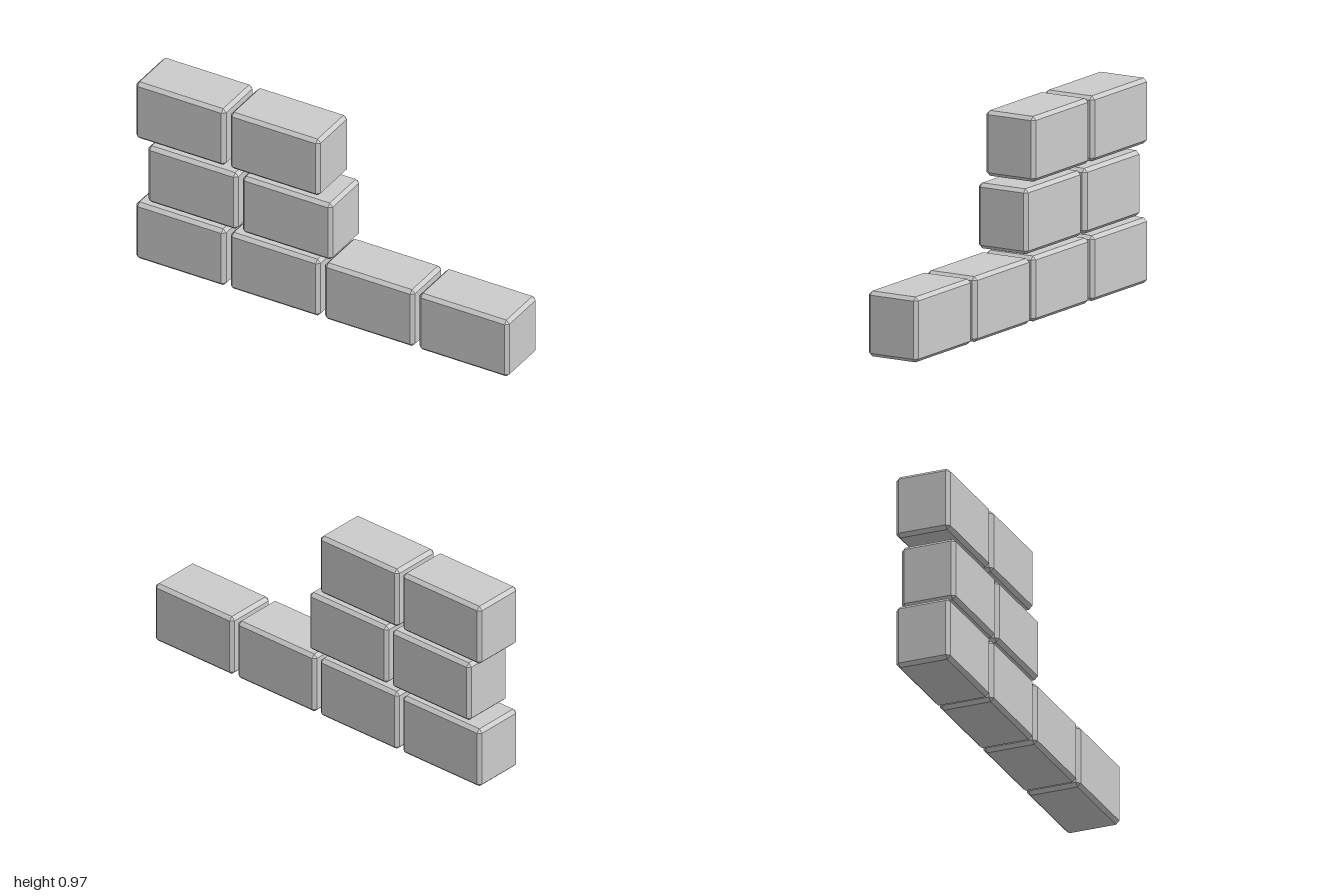
import * as THREE from 'three';
import { ConvexGeometry } from 'three/addons/geometries/ConvexGeometry.js';

const W = 0.482, H = 0.309, D = 0.27, BEVEL = 0.017;
const PITCH = (2 - W) / 3, ROW_STEP = 0.33;

// Box with every edge chamfered: each corner is cut into three points
function chamferedBox(w, h, d, b) {
  const points = [];
  for (const sx of [-1, 1]) for (const sy of [-1, 1]) for (const sz of [-1, 1]) {
    const x = w / 2, y = h / 2, z = d / 2;
    points.push(
      new THREE.Vector3(sx * x, sy * (y - b), sz * (z - b)),
      new THREE.Vector3(sx * (x - b), sy * y, sz * (z - b)),
      new THREE.Vector3(sx * (x - b), sy * (y - b), sz * z)
    );
  }
  return new ConvexGeometry(points);
}

export function createModel() {
  const wall = new THREE.Group();
  wall.name = 'brokenBrickWall';
  const material = new THREE.MeshStandardMaterial({ color: 0xcccccc, flatShading: true });
  const geometry = chamferedBox(W, H, D, BEVEL);

  // Courses from the ground up; the middle one is shifted sideways
  const courses = [
    { name: 'bottomCourse', count: 4, start: -1 },
    { name: 'middleCourse', count: 2, start: -0.935 },
    { name: 'topCourse', count: 2, start: -1 },
  ];
  courses.forEach(({ name, count, start }, row) => {
    const course = new THREE.Group();
    course.name = name;
    for (let i = 0; i < count; i++) {
      const brick = new THREE.Mesh(geometry, material);
      brick.name = `brick${i + 1}`;
      brick.position.set(start + W / 2 + i * PITCH, H / 2 + row * ROW_STEP, 0);
      course.add(brick);
    }
    wall.add(course);
  });
  return wall;
}
